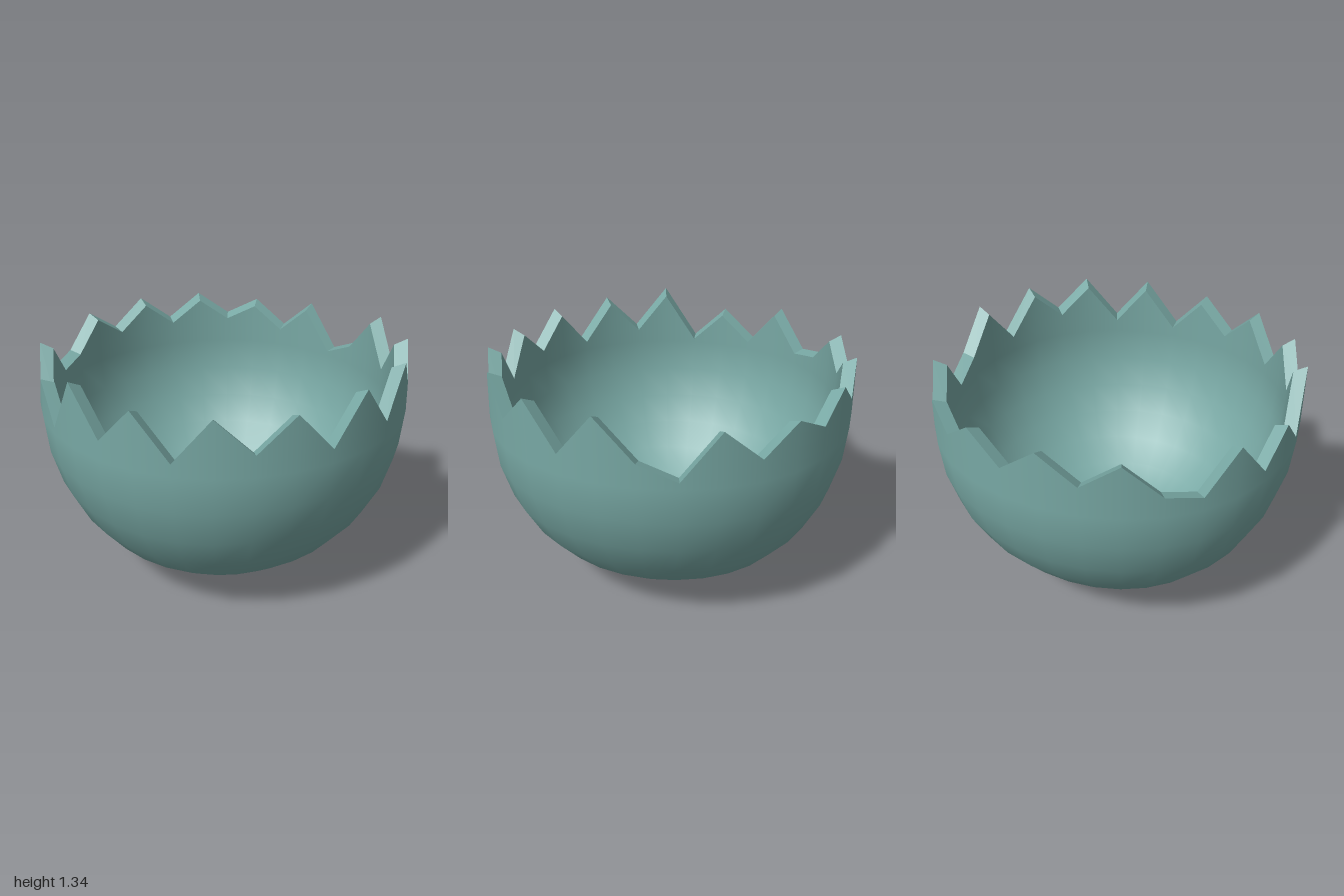
import * as THREE from 'three';

const SIDES = 32;
const ROWS = 9;
const INNER = 0.925; // inner wall radius
const RIM = 0.995; // outer radius at the broken edge

// Height of the broken edge at each side, from the front (+z) round towards +x
const rimHeights = [
  1.07, 1.32, 1.09, 1.335, 1.16, 1.335, 1.105, 1.34,
  1.125, 1.035, 1.285, 1.115, 1.265, 1.17, 1.305, 1.16,
  1.31, 1.16, 1.29, 1.11, 1.07, 1.285, 1.055, 1.22,
  1.03, 1.34, 1.10, 1.30, 1.065, 1.295, 1.11, 1.285,
];

// Angle of a grid step, spaced slightly unevenly like a rounded cube
function stepAngle(k) {
  const a = (k / SIDES) * Math.PI * 2;
  return a + 0.007 * Math.sin(4 * a);
}

// Unit direction: k steps round from the front, t steps down from the top
function direction(k, t) {
  return new THREE.Vector3().setFromSphericalCoords(1, stepAngle(t), stepAngle(k));
}

// The shell is a rounded cube: a little fuller between the axes
function bulge(d) {
  return 1 + 0.058 * Math.pow(Math.max(0, 1 - d.x ** 4 - d.y ** 4 - d.z ** 4), 1.5);
}

// A point on the broken edge, outer or inner
function rimPoint(k, inner) {
  const h = rimHeights[k % SIDES];
  const p = direction(k, SIDES / 4);
  p.multiplyScalar((inner ? INNER : RIM) * bulge(p));
  p.y = inner ? 0.99 + (h - 1) * INNER : h;
  return p;
}

// Lower half of the shell with one extra row raised to the jagged edge
function wallGeometry(inner) {
  const geo = new THREE.SphereGeometry(1, SIDES, ROWS);
  const pos = geo.attributes.position;
  const nor = geo.attributes.normal;
  const radius = inner ? INNER : 1;
  const facing = inner ? -1 : 1;
  // The top row of a full sphere has no upper triangles, so index the grid afresh
  const index = [];
  for (let row = 0; row <= ROWS; row++) {
    for (let k = 0; k <= SIDES; k++) {
      const i = row * (SIDES + 1) + k;
      const n = direction(k, row === 0 ? SIDES / 4 : SIDES / 4 - 1 + row);
      const p = row === 0 ? rimPoint(k, inner) : n.clone().multiplyScalar(radius * bulge(n));
      if (row > 0) p.y += 0.998;
      pos.setXYZ(i, p.x, p.y, p.z);
      nor.setXYZ(i, n.x * facing, n.y * facing, n.z * facing);
      if (row < ROWS && k < SIDES) {
        const below = i + SIDES + 1;
        index.push(i, below, i + 1, i + 1, below, below + 1);
      }
    }
  }
  // The inner wall faces the hollow
  geo.setIndex(inner ? index.reverse() : index);
  return geo;
}

// Flat facets joining the outer and inner edges
function rimGeometry() {
  const points = [];
  for (let k = 0; k < SIDES; k++) {
    const o0 = rimPoint(k, false), o1 = rimPoint(k + 1, false);
    const i0 = rimPoint(k, true), i1 = rimPoint(k + 1, true);
    points.push(o0, o1, i1, o0, i1, i0);
  }
  const geo = new THREE.BufferGeometry().setFromPoints(points);
  geo.computeVertexNormals();
  return geo;
}

export function createModel() {
  const group = new THREE.Group();
  group.name = 'brokenEggshell';

  const shell = new THREE.MeshStandardMaterial({ color: 0x78a8a4 });
  shell.name = 'shell teal';

  const parts = {
    outerShell: wallGeometry(false),
    innerShell: wallGeometry(true),
    jaggedRim: rimGeometry(),
  };
  for (const [name, geo] of Object.entries(parts)) {
    const mesh = new THREE.Mesh(geo, shell);
    mesh.name = name;
    group.add(mesh);
  }
  return group;
}
